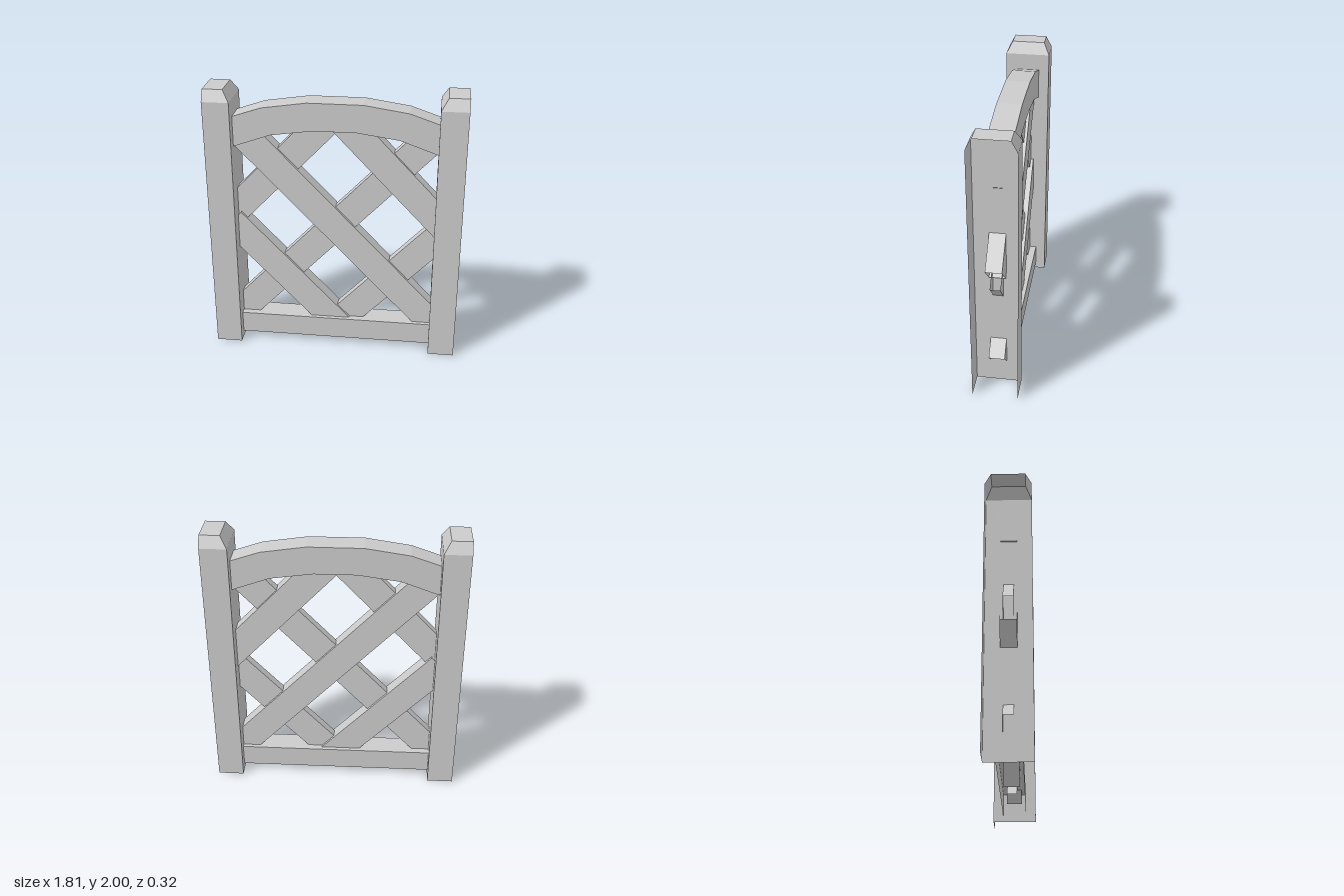
import * as THREE from 'three';

const material = new THREE.MeshStandardMaterial({ color: 0xcccccc, flatShading: true, side: THREE.DoubleSide });

// Box that keeps only the listed sides (0 +x, 1 -x, 2 +y, 3 -y, 4 +z, 5 -z)
function openBox(w, h, d, keep) {
  const geometry = new THREE.BoxGeometry(w, h, d);
  const index = Array.from(geometry.index.array);
  geometry.setIndex(keep.flatMap((side) => index.slice(side * 6, side * 6 + 6)));
  geometry.clearGroups();
  return geometry;
}

function addMesh(parent, name, geometry, x = 0, y = 0, z = 0) {
  const mesh = new THREE.Mesh(geometry, material);
  mesh.name = name;
  mesh.position.set(x, y, z);
  parent.add(mesh);
  return mesh;
}

// Post with a bevelled top, open on its outer side and underneath
function createPost(side) {
  const post = new THREE.Group();
  post.name = side > 0 ? 'leftPost' : 'rightPost';
  const inner = side > 0 ? 1 : 0;
  const width = 0.19, shoulder = 1.92, capHeight = 0.08;
  const x = side * 0.81;

  addMesh(post, 'postShaft', openBox(width, shoulder, 0.32, [inner, 4, 5]), x, shoulder / 2);

  // Pull the top edge in on the front, back and inner sides
  const cap = openBox(width, capHeight, 0.32, [inner, 2, 4, 5]);
  const p = cap.attributes.position;
  for (let i = 0; i < p.count; i++) {
    if (p.getY(i) < 0) continue;
    p.setZ(i, Math.sign(p.getZ(i)) * 0.118);
    if (p.getX(i) * side < 0) p.setX(i, p.getX(i) + side * 0.048);
  }
  cap.computeVertexNormals();
  addMesh(post, 'postCap', cap, x, shoulder + capHeight / 2);
  return post;
}

// Open-ended lattice board between two centre-line points
function addSlat(parent, name, [x0, y0], [x1, y1], depth) {
  const length = Math.hypot(x1 - x0, y1 - y0);
  const slat = addMesh(parent, name, openBox(length, 0.21, depth, [2, 3, 4, 5]), (x0 + x1) / 2, (y0 + y1) / 2);
  slat.rotation.z = Math.atan2(y1 - y0, x1 - x0);
}

export function createModel() {
  const gate = new THREE.Group();
  gate.name = 'latticeGate';

  // Side posts
  for (const side of [1, -1]) gate.add(createPost(side));

  // Bottom rail, open underneath
  addMesh(gate, 'bottomRail', openBox(1.43, 0.165, 0.172, [2, 4, 5]), 0, 0.1275);

  // Faceted arched top rail
  const upper = [[0.715, 1.8], [0.51, 1.87], [0.195, 1.917]];
  const lower = [[0.715, 1.58], [0.45, 1.675], [0.15, 1.717]];
  const mirrored = (points) => points.map(([x, y]) => [-x, y]).reverse();
  const outline = [...upper, ...mirrored(upper), ...mirrored(lower).reverse(), ...[...lower].reverse()];
  const arch = new THREE.Shape(outline.map(([x, y]) => new THREE.Vector2(x, y)));
  const archGeometry = new THREE.ExtrudeGeometry(arch, { depth: 0.172, bevelEnabled: false });
  addMesh(gate, 'archedTopRail', archGeometry, 0, 0, -0.086);

  // Crossing lattice: thicker falling boards, thinner rising boards
  const lattice = new THREE.Group();
  lattice.name = 'lattice';
  gate.add(lattice);
  const boards = [
    { start: [0.05, 1.79], end: [0.819, 0.978], drop: 0 },
    { start: [-0.644, 1.652], end: [0.739, 0.198], drop: 0 },
    { start: [-0.769, 0.982], end: [0.044, 0.123], drop: 0.03 },
  ];
  for (const { start, end, drop } of boards) {
    addSlat(lattice, 'fallingSlat', start, end, 0.112);
    addSlat(lattice, 'risingSlat', [-end[0], end[1] - drop], [-start[0], start[1] - drop], 0.07);
  }
  return gate;
}
